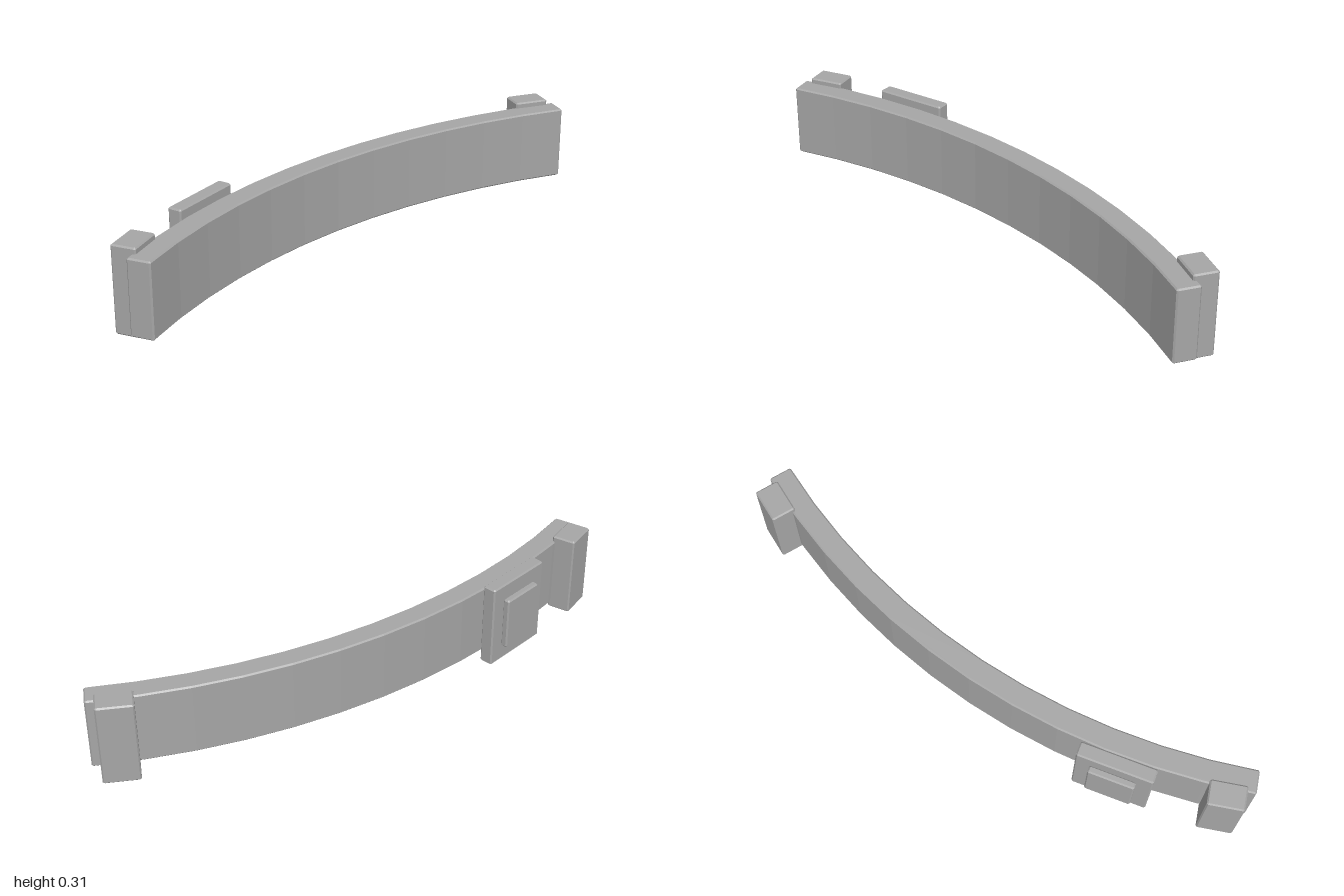
import * as THREE from 'three';

const BEVEL = 0.005;

// Upright prism from an [x, z] outline, with small chamfers on every edge
function chamferedPrism(outline, y0, y1, cornerIds) {
  const pts = [];
  outline.forEach(([x, z], i) => {
    const p = new THREE.Vector2(x, -z);
    if (!cornerIds.includes(i)) { pts.push(p); return; }
    const n = outline.length;
    for (const j of [(i + n - 1) % n, (i + 1) % n]) {
      const dir = new THREE.Vector2(outline[j][0], -outline[j][1]).sub(p).normalize();
      pts.push(p.clone().addScaledVector(dir, BEVEL));
    }
  });
  const geo = new THREE.ExtrudeGeometry(new THREE.Shape(pts), {
    depth: y1 - y0 - 2 * BEVEL,
    bevelEnabled: true,
    bevelThickness: BEVEL,
    bevelSize: BEVEL,
    bevelOffset: -BEVEL,
    bevelSegments: 1,
  });
  geo.rotateX(-Math.PI / 2);
  geo.translate(0, y0 + BEVEL, 0);
  return geo;
}

export function createModel() {
  const group = new THREE.Group();
  const grey = new THREE.MeshStandardMaterial({ color: 0xa6a6a6, flatShading: true });
  grey.name = 'grey';

  const add = (name, geo, x = 0, z = 0, angle = 0) => {
    const mesh = new THREE.Mesh(geo, grey);
    mesh.name = name;
    mesh.position.set(x, 0, z);
    mesh.rotation.y = angle;
    group.add(mesh);
  };
  const block = (w, d, y0, y1) => chamferedPrism(
    [[-w / 2, d / 2], [w / 2, d / 2], [w / 2, -d / 2], [-w / 2, -d / 2]], y0, y1, [0, 1, 2, 3]);

  // Curved beam: an arc of twelve flat segments
  const outerR = 2.486, innerR = 2.404, centreZ = 2.359, sweep = 0.414, segments = 12;
  const arc = (r) => Array.from({ length: segments + 1 }, (_, i) => {
    const a = -sweep + (2 * sweep * i) / segments;
    return [r * Math.sin(a), centreZ - r * Math.cos(a)];
  });
  const outline = [...arc(innerR), ...arc(outerR).reverse()];
  add('curvedBeam', chamferedPrism(outline, 0.026, 0.29, [0, segments, segments + 1, 2 * segments + 1]));

  // End blocks on the back of the beam
  for (const side of [-1, 1]) {
    add(side < 0 ? 'rightEndBlock' : 'leftEndBlock',
      block(0.126, 0.087, 0.007, 0.31), side * 0.925, 0.02, -side * sweep);
  }

  // Mounting pad with a raised plate
  const padAngle = 0.235;
  add('mountingPad', block(0.27, 0.051, 0.0, 0.315), -0.57, -0.094, padAngle);
  add('padPlate', block(0.165, 0.026, 0.06, 0.257), -0.578, -0.13, padAngle);

  return group;
}
